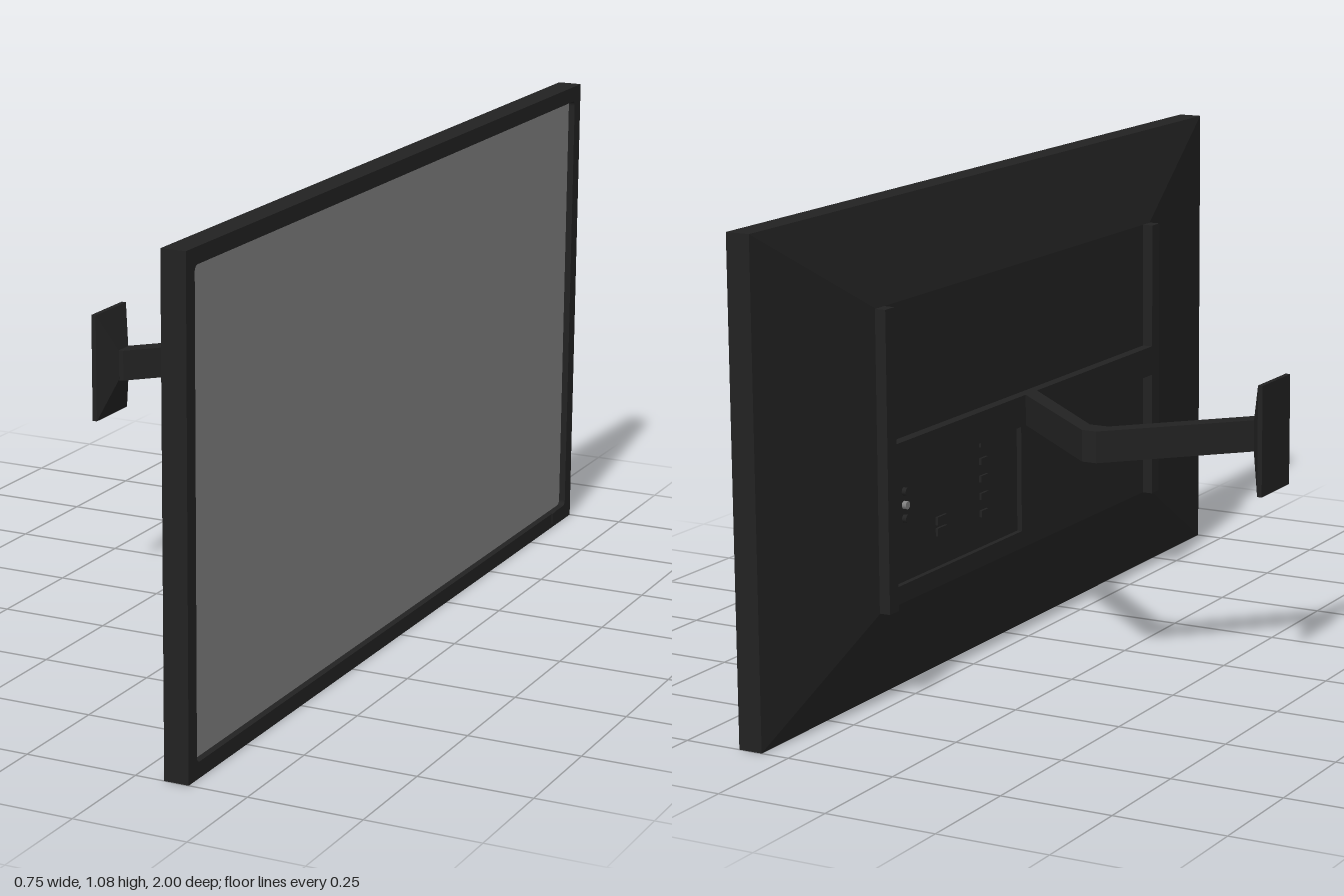
import * as THREE from 'three';

const casing = new THREE.MeshStandardMaterial({ color: 0x222222 });
casing.name = 'charcoal casing';
const glass = new THREE.MeshStandardMaterial({ color: 0x808080 });
glass.name = 'grey screen';

function add(parent, name, geometry, material, x = 0, y = 0, z = 0) {
  const mesh = new THREE.Mesh(geometry, material);
  mesh.name = name;
  mesh.position.set(x, y, z);
  parent.add(mesh);
  return mesh;
}

// Box given by its limits on each axis
function slab(parent, name, [x0, x1], [y0, y1], [z0, z1], material = casing) {
  return add(parent, name, new THREE.BoxGeometry(x1 - x0, y1 - y0, z1 - z0), material,
    (x0 + x1) / 2, (y0 + y1) / 2, (z0 + z1) / 2);
}

// Flat-faced loft through rectangles [x0, x1, y0, y1, z], running front to back
function loftRectangles(rings) {
  const corners = rings.map(([x0, x1, y0, y1, z]) =>
    [[x0, y0, z], [x1, y0, z], [x1, y1, z], [x0, y1, z]]);
  const pos = [];
  const quad = (a, b, c, d) => pos.push(...a, ...b, ...c, ...a, ...c, ...d);
  quad(...corners[0]);
  for (let i = 0; i < corners.length - 1; i++) {
    const p = corners[i], q = corners[i + 1];
    for (let k = 0; k < 4; k++) {
      const n = (k + 1) % 4;
      quad(p[k], q[k], q[n], p[n]);
    }
  }
  quad(...corners[corners.length - 1].slice().reverse());
  const geometry = new THREE.BufferGeometry();
  geometry.setAttribute('position', new THREE.Float32BufferAttribute(pos, 3));
  geometry.computeVertexNormals();
  return geometry;
}

function roundedRect(path, x0, x1, y0, y1, r) {
  path.absarc(x1 - r, y1 - r, r, 0, Math.PI / 2);
  path.absarc(x0 + r, y1 - r, r, Math.PI / 2, Math.PI);
  path.absarc(x0 + r, y0 + r, r, Math.PI, Math.PI * 1.5);
  path.absarc(x1 - r, y0 + r, r, Math.PI * 1.5, Math.PI * 2);
  path.closePath();
  return path;
}

function createTelevision() {
  const tv = new THREE.Group();
  tv.name = 'television';

  // Bezel frame with a rounded opening
  const outline = new THREE.Shape([[-1, 0], [1, 0], [1, 1.08], [-1, 1.08]]
    .map(([x, y]) => new THREE.Vector2(x, y)));
  outline.holes.push(roundedRect(new THREE.Path(), -0.965, 0.965, 0.035, 1.045, 0.012));
  add(tv, 'bezel', new THREE.ExtrudeGeometry(outline,
    { depth: 0.055, bevelEnabled: false, curveSegments: 5 }), casing, 0, 0, 0.315);
  slab(tv, 'screen', [-0.97, 0.97], [0.03, 1.05], [0.335, 0.355], glass);
  slab(tv, 'sensor', [0.88, 0.9], [0.01, 0.036], [0.36, 0.373]);

  // Tapered back cover with a sunken connector bay
  add(tv, 'backCover', loftRectangles([
    [-1, 1, 0, 1.08, 0.315],
    [-0.62, 0.62, 0.21, 0.87, 0.26],
    [0.01, 0.585, 0.25, 0.52, 0.26],
    [0.01, 0.585, 0.25, 0.52, 0.272],
  ]), casing);

  // Connectors in the bay
  for (let i = 0; i < 5; i++) {
    const y = 0.32 + i * 0.04;
    slab(tv, 'port', [0.15, 0.18], [y, y + 0.015], [0.266, 0.274]);
  }
  for (const y of [0.32, 0.345]) slab(tv, 'socket', [0.33, 0.37], [y, y + 0.018], [0.266, 0.274]);
  for (const y of [0.39, 0.42, 0.45]) {
    const jack = add(tv, 'jack', new THREE.CylinderGeometry(0.009, 0.009, 0.012, 12),
      y === 0.42 ? glass : casing, 0.5, y, 0.268);
    jack.rotation.x = Math.PI / 2;
  }

  // Mounting rails and cross bar
  for (const side of [-1, 1]) {
    slab(tv, 'mountRail', [side * 0.605 - 0.018, side * 0.605 + 0.018], [0.21, 0.87], [0.235, 0.262]);
  }
  slab(tv, 'mountCrossBar', [-0.59, 0.59], [0.505, 0.575], [0.236, 0.262]);

  // Wall plate tapering to the arm
  add(tv, 'wallPlate', loftRectangles([
    [-0.022, 0.022, 0.507, 0.573, -0.33],
    [-0.07, 0.07, 0.416, 0.664, -0.362],
    [-0.07, 0.07, 0.416, 0.664, -0.373],
  ]), casing);

  tv.rotation.y = Math.PI / 2;
  return tv;
}

// Folding arm: plan outline [x, z] raised to the arm's height
function createArm() {
  const plan = [
    [-0.335, -0.022], [-0.08, -0.283], [-0.045, -0.283], [0.237, -0.03],
    [0.237, 0.022], [-0.035, -0.228], [-0.08, -0.228], [-0.32, 0.02], [-0.335, 0.022],
  ];
  const shape = new THREE.Shape(plan.map(([x, z]) => new THREE.Vector2(x, -z)));
  const geometry = new THREE.ExtrudeGeometry(shape, { depth: 0.07, bevelEnabled: false });
  geometry.rotateX(-Math.PI / 2);
  return geometry;
}

export function createModel() {
  const model = new THREE.Group();
  model.name = 'wallMountedTelevision';
  model.add(createTelevision());
  add(model, 'foldingArm', createArm(), casing, 0, 0.505, 0);
  return model;
}
